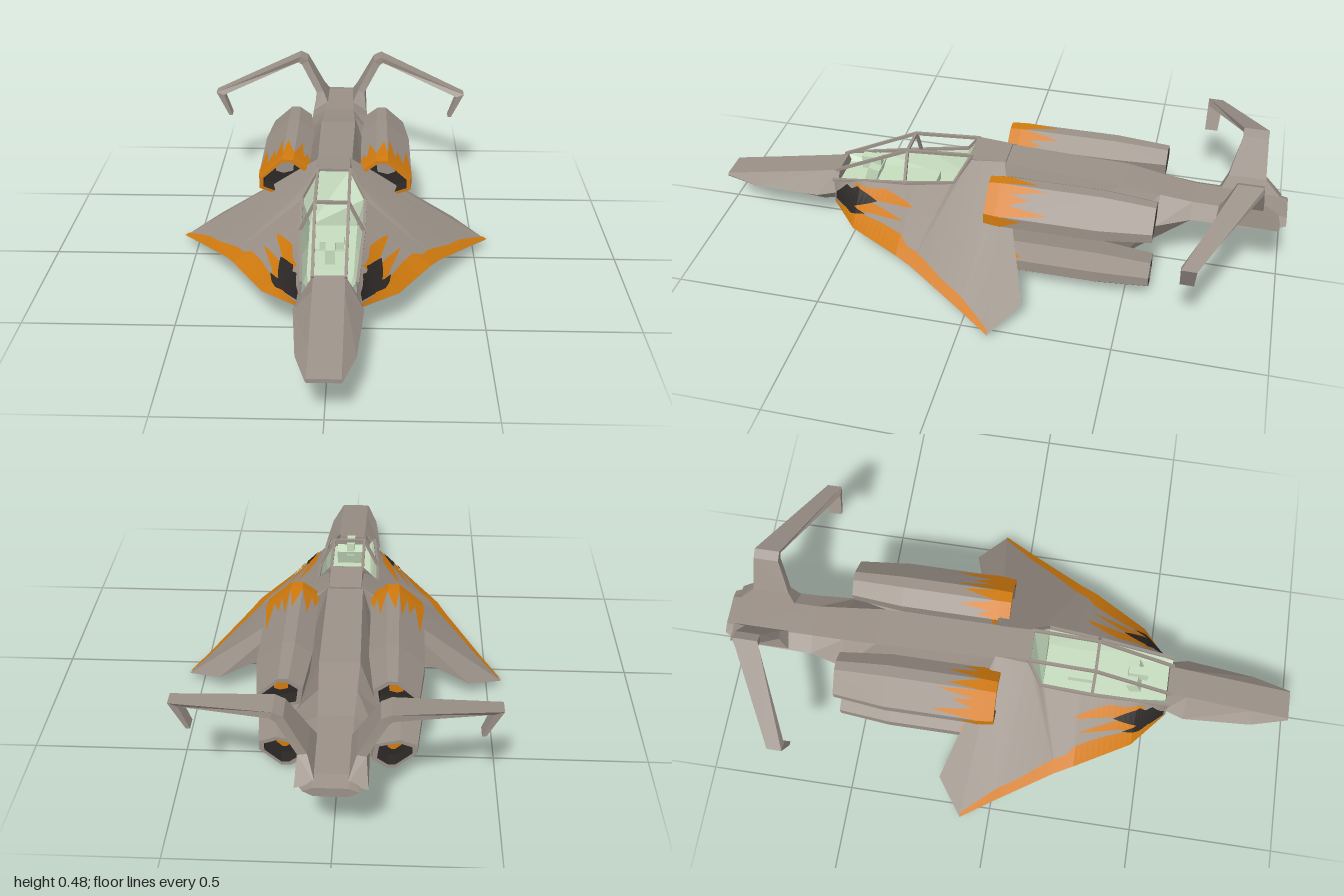
import * as THREE from 'three';
import { mergeVertices } from 'three/addons/utils/BufferGeometryUtils.js';

const flat = (name, color) => {
  const m = new THREE.MeshStandardMaterial({ color });
  m.name = name;
  return m;
};
const lerp = (a, b, t) => a.map((v, i) => v + (b[i] - v) * t);

// Shapes are lists of triangle corners; each corner is [x, y, z]
const quad = (a, b, c, d) => [a, b, c, a, c, d];
const fan = (pts, flip = false) => {
  const out = [];
  for (let i = 1; i < pts.length - 1; i++) {
    out.push(pts[0], ...(flip ? [pts[i + 1], pts[i]] : [pts[i], pts[i + 1]]));
  }
  return out;
};
// Skin over closed cross-sections, counter-clockwise as seen from the first end
const loft = (secs, caps = false) => {
  const out = [];
  for (let i = 0; i < secs.length - 1; i++) {
    const p = secs[i], q = secs[i + 1];
    p.forEach((a, j) => {
      const k = (j + 1) % p.length;
      out.push(...quad(a, q[j], q[k], p[k]));
    });
  }
  if (caps) out.push(...fan(secs[0]), ...fan(secs[secs.length - 1], true));
  return out;
};
// Symmetric six-sided section
const hex = (z, tw, yt, mw, ym, bw, yb) => [
  [bw, yb, z], [mw, ym, z], [tw, yt, z], [-tw, yt, z], [-mw, ym, z], [-bw, yb, z]];

const MID = 0.365; // lower engines mirror the upper ones: y -> MID - y
function mesh(name, mat, tris, sx = 1, sy = 1, smooth = false) {
  const pos = [];
  for (let i = 0; i < tris.length; i += 3) {
    const t = sx * sy < 0 ? [tris[i], tris[i + 2], tris[i + 1]] : tris.slice(i, i + 3);
    t.forEach(([x, y, z]) => pos.push(sx * x, sy < 0 ? MID - y : y, z));
  }
  let g = new THREE.BufferGeometry();
  g.setAttribute('position', new THREE.Float32BufferAttribute(pos, 3));
  if (smooth) g = mergeVertices(g);
  g.computeVertexNormals();
  const m = new THREE.Mesh(g, mat);
  m.name = name;
  return m;
}

// Wing rows from nose to tail: inner (sill), outer edge, underside fold and underside centre
const SILL = [[0.085, 0.2, 0.57], [0.1, 0.225, 0.46], [0.105, 0.25, 0.27], [0.11, 0.28, 0.12],
  [0.058, 0.352, 0.07], [0.055, 0.36, -0.045], [0.055, 0.36, -0.045]];
const EDGE = [[0.09, 0.11, 0.57], [0.22, 0.105, 0.46], [0.33, 0.105, 0.27], [0.36, 0.094, 0.21],
  [0.48, 0.046, 0.01], [0.55, 0.02, -0.1], [0.43, 0.07, -0.19]];
const CENTRE = SILL.map(([, , z]) => [0, 0.105, z]);
const FOLD = EDGE.map((e, i) => (e[0] <= 0.32 ? e : [0.32, 0.105, lerp(CENTRE[i], e, 0.32 / e[0])[2]]));
const along = (rows, t) => {
  const i = Math.min(Math.floor(t), rows.length - 2);
  return lerp(rows[i], rows[i + 1], t - i);
};
// Piecewise-linear value from [t, v] pairs
const curve = (pairs, t) => {
  for (let i = 0; i < pairs.length - 1; i++) {
    const [t0, v0] = pairs[i], [t1, v1] = pairs[i + 1];
    if (t <= t1) return v0 + (v1 - v0) * Math.max(0, (t - t0) / (t1 - t0));
  }
  return pairs[pairs.length - 1][1];
};
const ZERO = [[0, 0]], ONE = [[0, 1]];
// Strip of ruled skin between two curves, lifted slightly
function band(outer, inner, t0, t1, lo, hi, { lift = 0, steps = 10 } = {}) {
  const out = [], p = (t, c) => {
    const v = lerp(along(outer, t), along(inner, t), curve(c, t));
    return [v[0] + lift * 0.5, v[1] + lift, v[2] + lift * 0.2];
  };
  const n = Math.round((t1 - t0) * steps);
  for (let i = 0; i < n; i++) {
    const a = t0 + (t1 - t0) * i / n, b = t0 + (t1 - t0) * (i + 1) / n;
    out.push(...quad(p(a, lo), p(b, lo), p(b, hi), p(a, hi)));
  }
  return out;
}

export function createModel() {
  const grey = flat('hull grey', 0x9a9087);
  const orange = flat('flame orange', 0xd07a0e);
  const dark = flat('soot black', 0x2b2725);
  const green = flat('cockpit green', 0xc6dcbe);
  green.side = THREE.DoubleSide;
  const root = new THREE.Group();
  root.name = 'starfighter';
  const add = (...a) => root.add(mesh(...a));

  // Nose, spine hood, and fuselage running into the tail boom
  add('nose', grey, loft([
    hex(1, 0.05, 0.135, 0.055, 0.13, 0.05, 0.122),
    hex(0.87, 0.05, 0.16, 0.09, 0.125, 0.045, 0.1),
    hex(0.63, 0.05, 0.207, 0.11, 0.14, 0.05, 0.085),
    hex(0.56, 0.05, 0.222, 0.09, 0.15, 0.05, 0.1)], true));
  add('hood', grey, loft([
    hex(0.07, 0.055, 0.371, 0.06, 0.355, 0.055, 0.3),
    hex(-0.05, 0.055, 0.362, 0.057, 0.35, 0.055, 0.3)], true));
  add('fuselage', grey, loft([
    hex(0.01, 0.055, 0.355, 0.1, 0.18, 0.05, 0.06),
    hex(-0.04, 0.06, 0.355, 0.115, 0.17, 0.055, 0.02),
    hex(-0.46, 0.065, 0.335, 0.12, 0.185, 0.055, 0.02),
    hex(-0.58, 0.06, 0.315, 0.13, 0.235, 0.055, 0.13),
    hex(-0.69, 0.055, 0.3, 0.11, 0.265, 0.05, 0.24),
    hex(-0.95, 0.055, 0.295, 0.105, 0.265, 0.05, 0.235),
    hex(-1, 0.05, 0.285, 0.08, 0.272, 0.05, 0.255)], true));

  // Cockpit tub, bulkhead, seat and console
  const tub = [];
  for (const s of [1, -1]) for (let i = 0; i < 3; i++) {
    const a = SILL[i], b = SILL[i + 1];
    const m = ([x, y, z]) => [s * (x - 0.004), y, z], f = ([x, , z]) => [s * x * 0.75, 0.18, z];
    tub.push(...quad(m(a), m(b), f(b), f(a)), ...quad(f(a), f(b), [0, 0.18, b[2]], [0, 0.18, a[2]]));
  }
  add('cockpitTub', green, tub);
  add('bulkhead', green, fan([[-0.08, 0.18, 0.125], [0.08, 0.18, 0.125], [0.106, 0.28, 0.122],
    [0.053, 0.365, 0.074], [-0.053, 0.365, 0.074], [-0.106, 0.28, 0.122]]));
  const box = (name, mat, w, h, d, x, y, z) => {
    const m = new THREE.Mesh(new THREE.BoxGeometry(w, h, d), mat);
    m.name = name;
    m.position.set(x, y, z);
    root.add(m);
    return m;
  };
  box('seat', green, 0.08, 0.03, 0.1, 0, 0.195, 0.26);
  box('console', green, 0.1, 0.06, 0.04, 0, 0.215, 0.44).rotation.x = -0.3;
  box('instrumentHood', green, 0.03, 0.05, 0.07, 0, 0.245, 0.45);

  // Open canopy frame
  const bar = (p, q, w = 0.01) => {
    const a = new THREE.Vector3(...p), b = new THREE.Vector3(...q);
    const m = box('canopyFrame', grey, w, w, a.distanceTo(b) + w * 0.6, 0, 0, 0);
    m.position.copy(a).lerp(b, 0.5);
    m.lookAt(b);
  };
  for (const s of [1, -1]) {
    const path = [[0.052, 0.222, 0.57], [0.055, 0.35, 0.3], [0.055, 0.366, 0.07], [0.108, 0.28, 0.12],
      [0.105, 0.247, 0.3], [0.088, 0.203, 0.57]].map(([x, y, z]) => [s * x, y, z]);
    path.slice(1).forEach((p, i) => bar(path[i], p));
    bar(path[1], path[4]);
  }
  bar([-0.055, 0.35, 0.3], [0.055, 0.35, 0.3]);
  bar([-0.055, 0.366, 0.07], [0.055, 0.366, 0.07]);

  // Engine outline and scaled copies of it
  const OUT = [[0.27, 0.25], [0.27, 0.29], [0.185, 0.365], [0.145, 0.365], [0.09, 0.325], [0.1, 0.25], [0.2, 0.225]];
  const ring = (z, k, dy = 0) => OUT.map(([x, y]) => [0.178 + (x - 0.178) * k, 0.295 + dy + (y - 0.295) * k, z]);
  // Flame spikes: face, start, end, tip position, tip z
  const spikes = [[0, 0, 1, 0.8, -0.15], [1, 0, 0.4, 0.2, -0.24], [1, 0.3, 0.7, 0.6, -0.17], [1, 0.65, 1, 0.9, -0.22],
    [2, 0, 1, 0.3, -0.19], [3, 0, 0.6, 0.4, -0.2], [3, 0.5, 1, 0.8, -0.14], [6, 0.2, 1, 0.8, -0.15]];
  const skin = ring(-0.08, 1.025);
  const flames = spikes.flatMap(([f, u0, u1, um, z]) => {
    const at = (u, zz) => [...lerp(skin[f], skin[(f + 1) % 7], u).slice(0, 2), zz];
    return [at(u0, -0.075), at(um, z), at(u1, -0.075)];
  });

  for (const s of [1, -1]) {
    const side = s > 0 ? 'left' : 'right';

    // Wing skins: smooth top, folded underside, closed trailing edge
    add(side + 'WingTop', grey, [...band(EDGE, SILL, 0, 3, ZERO, ONE),
      ...band(EDGE, SILL, 3, 5, ZERO, ONE, { steps: 1 })], s, 1, true);
    add(side + 'WingUnderside', grey, [...band(FOLD, CENTRE, 0, 6, ONE, ZERO, { steps: 1 }),
      ...band(EDGE, FOLD, 1, 6, ONE, ZERO, { steps: 1 })], s);
    add(side + 'WingTrailingEdge', grey, [EDGE[5], EDGE[6], SILL[6],
      ...fan([FOLD[6], EDGE[6], SILL[6], CENTRE[6]], true)], s);

    // Painted flames and soot
    const paint = (name, mat, t0, t1, lo, hi, lift) =>
      add(side + name, mat, band(EDGE, SILL, t0, t1, lo, hi, { lift }), s);
    paint('WingEdgeFlame', orange, 0, 5, ZERO, [[0, 0.1], [0.5, 0.22], [0.9, 0.48], [1.2, 0.34], [1.6, 0.33],
      [2, 0.29], [2.4, 0.18], [3, 0.16], [3.6, 0.1], [4, 0.09], [5, 0.03]], 0.004);
    paint('WingUpperFlame', orange, 0.8, 2.2, [[0.8, 0.5], [1.4, 0.66], [2.2, 0.66]],
      [[0.8, 0.94], [1.2, 0.86], [1.5, 0.88], [2.2, 0.66]], 0.003);
    paint('WingMiddleFlame', orange, 0.8, 2, [[0.8, 0.3], [1.3, 0.42], [2, 0.46]],
      [[0.8, 0.65], [1.3, 0.6], [2, 0.46]], 0.003);
    paint('WingSoot', dark, 0.1, 1.4, [[0.1, 0.2], [0.5, 0.22], [0.7, 0.42], [0.9, 0.42], [1.4, 0.64]],
      [[0.1, 0.5], [0.5, 0.87], [0.7, 0.78], [0.9, 0.86], [1.4, 0.64]], 0.006);
    paint('WingLowerSoot', dark, 0.4, 1.2, [[0.4, 0.25], [0.8, 0.22], [1.2, 0.36]],
      [[0.4, 0.45], [0.8, 0.45], [1.2, 0.36]], 0.006);

    // Tail arm: pylon, swept arm and drooping tip
    const sec = (a, b, f, k) => [[...a, f], [...a, k], [...b, k], [...b, f]];
    add(side + 'TailArm', grey, loft([
      sec([0.045, 0.285], [0.105, 0.265], -0.77, -0.98),
      sec([0.07, 0.34], [0.098, 0.335], -0.795, -0.92),
      sec([0.135, 0.46], [0.158, 0.442], -0.825, -0.91),
      sec([0.165, 0.475], [0.172, 0.453], -0.825, -0.91),
      sec([0.495, 0.368], [0.465, 0.357], -0.69, -0.74),
      sec([0.447, 0.272], [0.434, 0.272], -0.69, -0.735)], true), s);

    // Upper and lower engines
    for (const v of [1, -1]) {
      const e = new THREE.Group();
      e.name = side + (v > 0 ? 'Upper' : 'Lower') + 'Engine';
      const part = (name, mat, tris) => e.add(mesh(name, mat, tris, s, v));
      part('engineCowl', orange, loft([ring(-0.02, 0.8), ring(-0.021, 0.95), ring(-0.06, 1), ring(-0.08, 1)]));
      part('engineBody', grey, loft([ring(-0.08, 1), ring(-0.4, 1), ring(-0.58, 0.8), ring(-0.58, 0.62)]));
      part('engineFlames', orange, flames);
      part('intake', dark, [...loft([ring(-0.08, 0.8), ring(-0.02, 0.8)]), ...fan(ring(-0.08, 0.8))]);
      part('intakeCore', grey, fan(ring(-0.075, 0.36, 0.018 * v)));
      part('nozzle', dark, [...loft([ring(-0.58, 0.62), ring(-0.53, 0.62)]), ...fan(ring(-0.53, 0.62), true)]);
      part('nozzleCore', orange, fan(ring(-0.535, 0.25), true));
      root.add(e);
    }
  }
  return root;
}
